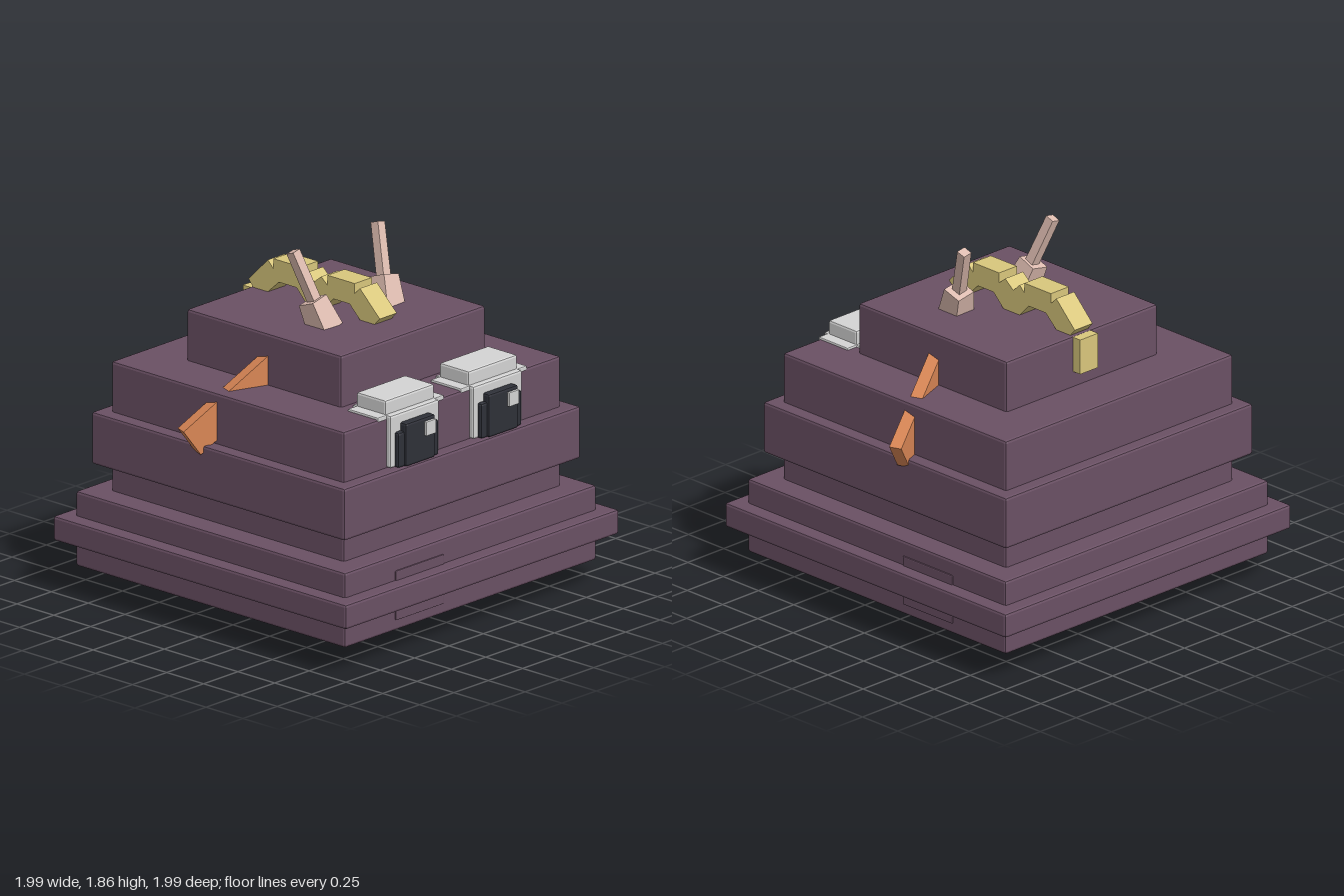
import * as THREE from 'three';
import { RoundedBoxGeometry } from 'three/addons/geometries/RoundedBoxGeometry.js';

const mat = (name, color) => {
  const m = new THREE.MeshStandardMaterial({ color });
  m.name = name;
  return m;
};

export function createModel() {
  const plum = mat('plum', 0x6a5064);
  const yellow = mat('yellow', 0xd9c77c);
  const orange = mat('orange', 0xd98655);
  const pink = mat('pink', 0xdfbdb1);
  const white = mat('light grey', 0xd4d4d4);
  const dark = mat('charcoal', 0x2e3038);
  const model = new THREE.Group();
  model.name = 'steppedCreature';

  const add = (parent, name, geometry, material) => {
    const mesh = new THREE.Mesh(geometry, material);
    mesh.name = name;
    parent.add(mesh);
    return mesh;
  };

  // Box with chamfered edges, given by its limits
  const block = (parent, name, material, [x0, x1], [y0, y1], [z0, z1], bevel = 0.012) => {
    const geo = new RoundedBoxGeometry(x1 - x0, y1 - y0, z1 - z0, 1, bevel);
    geo.computeVertexNormals();
    const mesh = add(parent, name, geo, material);
    mesh.position.set((x0 + x1) / 2, (y0 + y1) / 2, (z0 + z1) / 2);
    return mesh;
  };

  // Stepped body: half width, bottom, top
  const tiers = [
    [0.61, 0, 0.16], [0.915, 0.135, 0.53], [0.995, 0.27, 0.4], [0.79, 0.51, 0.69],
    [0.86, 0.67, 0.945], [0.79, 0.925, 1.21], [0.525, 1.19, 1.48],
  ];
  tiers.forEach(([h, y0, y1], i) =>
    block(model, `bodyTier${i + 1}`, plum, [-h, h], [y0, y1], [-h, h], 0.014));

  // Shallow patches on the lower body
  block(model, 'frontPatch', plum, [-0.55, -0.2], [0.19, 0.45], [0.8, 0.922], 0.005);
  block(model, 'sidePatch', plum, [0.8, 0.922], [0.19, 0.45], [-0.54, -0.19], 0.005);
  block(model, 'undersidePatch1', plum, [0.5, 0.85], [0.122, 0.16], [-0.42, -0.16], 0.005);
  block(model, 'undersidePatch2', plum, [-0.68, -0.42], [0.122, 0.16], [-0.75, -0.5], 0.005);
  block(model, 'undersidePatch3', plum, [0.3, 0.56], [0.122, 0.16], [0.5, 0.81], 0.005);

  // Eyes; the glints sit on the same side of both pupils
  for (const s of [-1, 1]) {
    const eye = new THREE.Group();
    eye.name = s > 0 ? 'leftEye' : 'rightEye';
    eye.position.x = s * 0.302;
    model.add(eye);
    block(eye, 'socket', white, [-0.178, 0.178], [0.945, 1.222], [0.555, 0.818]);
    block(eye, 'lidFlange', white, [-0.24, 0.24], [1.196, 1.222], [0.585, 0.79], 0.006);
    block(eye, 'lid', white, [-0.178, 0.178], [1.2, 1.295], [0.585, 0.785]);
    block(eye, 'pupilWide', dark, [-0.147, 0.147], [0.945, 1.13], [0.79, 0.845]);
    block(eye, 'pupilTall', dark, [-0.107, 0.107], [0.945, 1.172], [0.79, 0.858]);
    block(eye, 'glint', white, [0.025, 0.097], [1.078, 1.152], [0.82, 0.872], 0.003);
  }

  // Feelers: a tapered foot and a thin stalk, leaning out and back
  const post = (parent, name, from, to, bottom, top, depth) => {
    const a = new THREE.Vector3(...from), b = new THREE.Vector3(...to);
    const geo = new THREE.BoxGeometry(bottom, a.distanceTo(b), depth);
    const p = geo.attributes.position;
    for (let i = 0; i < p.count; i++) {
      if (p.getY(i) > 0) {
        p.setX(i, p.getX(i) * top / bottom);
        p.setZ(i, p.getZ(i) * top / bottom);
      }
    }
    geo.computeVertexNormals();
    const mesh = add(parent, name, geo, pink);
    mesh.position.copy(a).add(b).multiplyScalar(0.5);
    mesh.quaternion.setFromUnitVectors(new THREE.Vector3(0, 1, 0), b.sub(a).normalize());
  };

  // Side fin: a slanted slab running through two tiers
  const finShape = new THREE.Shape(
    [[-0.03, 1.37], [0.449, 1.035], [0.353, 0.9], [-0.12, 1.24]].map(q => new THREE.Vector2(...q)));
  const finGeo = new THREE.ExtrudeGeometry(finShape, { depth: 0.066, bevelEnabled: false });
  finGeo.translate(0, 0, -0.033);

  for (const s of [1, -1]) {
    const side = new THREE.Group();
    side.name = s > 0 ? 'leftSide' : 'rightSide';
    side.scale.x = s;
    model.add(side);
    post(side, 'feelerFoot', [0.225, 1.45, 0.14], [0.259, 1.602, 0.083], 0.13, 0.105, 0.13);
    post(side, 'feelerStalk', [0.248, 1.58, 0.095], [0.308, 1.85, -0.004], 0.052, 0.05, 0.052);
    const fin = add(side, 'sideFin', finGeo, orange);
    fin.position.set(0.53, 0, -0.01);
    fin.rotation.y = 0.36;
  }

  // Double-arched crest, outlined as (z, y)
  const crest = new THREE.Shape([
    [0.355, 1.517], [0.22, 1.646], [0.185, 1.61], [0.185, 1.663], [0, 1.663], [0, 1.61],
    [-0.043, 1.646], [-0.1, 1.6], [-0.145, 1.642], [-0.18, 1.61], [-0.18, 1.663],
    [-0.367, 1.663], [-0.367, 1.61], [-0.405, 1.648], [-0.536, 1.517], [-0.5, 1.475],
    [-0.41, 1.475], [-0.33, 1.548], [-0.21, 1.548], [-0.14, 1.475], [-0.035, 1.475],
    [0.04, 1.548], [0.15, 1.548], [0.225, 1.475], [0.315, 1.475],
  ].map(q => new THREE.Vector2(...q)));
  const crestGeo = new THREE.ExtrudeGeometry(crest, { depth: 0.124, bevelEnabled: false });
  crestGeo.translate(0, 0, -0.062);
  crestGeo.rotateY(-Math.PI / 2);
  add(model, 'crest', crestGeo, yellow);
  const tail = add(model, 'crestTail', new THREE.BoxGeometry(0.124, 0.185, 0.055), yellow);
  tail.position.set(0, 1.383, -0.547);

  return model;
}
